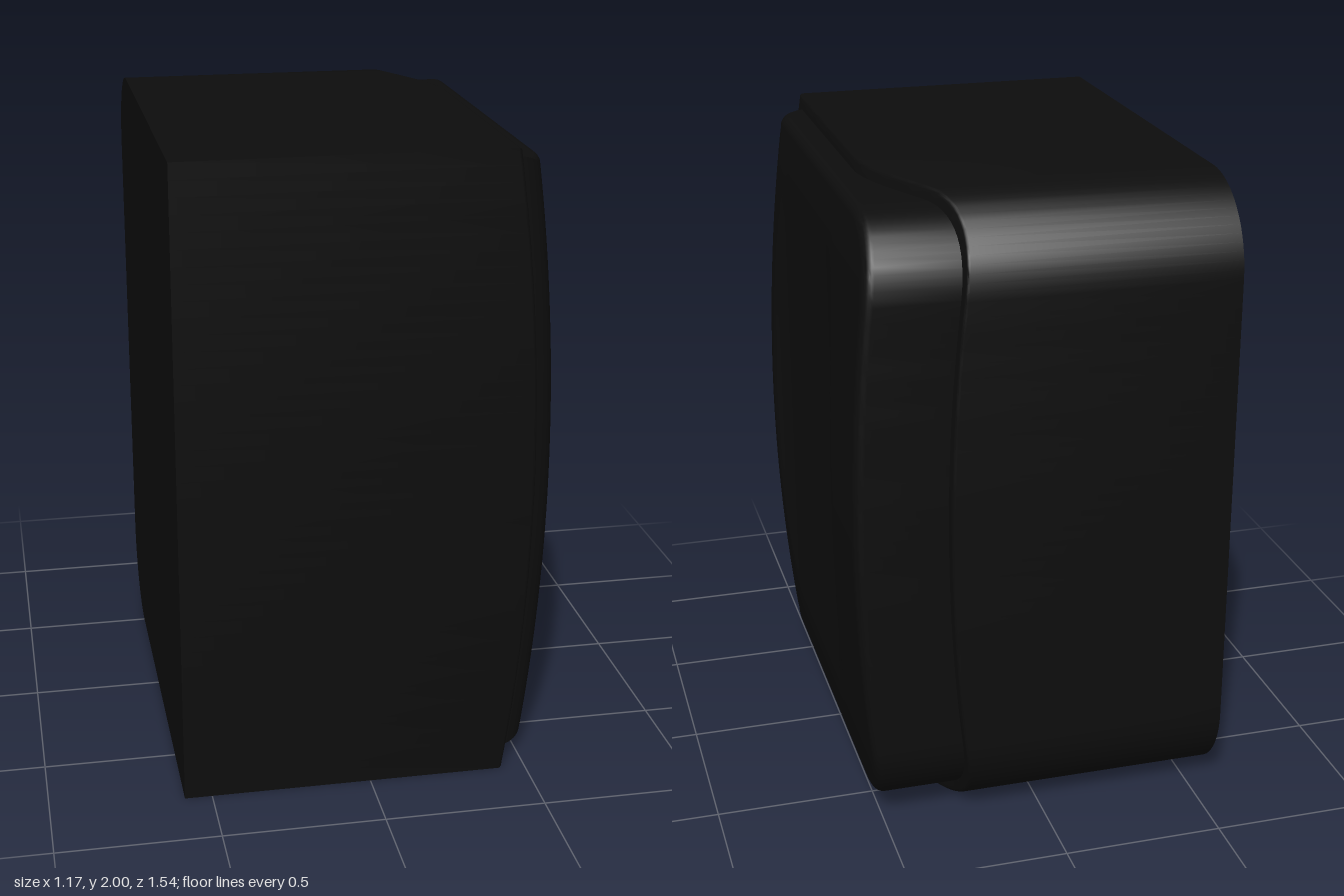
import * as THREE from 'three';
import { toCreasedNormals } from 'three/addons/utils/BufferGeometryUtils.js';

const { smoothstep, clamp } = THREE.MathUtils;

// Side outline in (z, y): square at the front, rounded at the back corners
function outline(zFront, zBack, y0, y1, r) {
  const pts = [];
  const line = (za, ya, zb, yb, n) => {
    for (let i = 0; i < n; i++) pts.push([za + (zb - za) * i / n, ya + (yb - ya) * i / n]);
  };
  const arc = (cz, cy, from) => {
    for (let i = 0; i < 16; i++) {
      const a = from + Math.PI / 2 * i / 16;
      pts.push([cz - r * Math.cos(a), cy + r * Math.sin(a)]);
    }
  };
  line(zFront, y0, zBack + r, y0, 40);
  arc(zBack + r, y0 + r, -Math.PI / 2);
  line(zBack, y0 + r, zBack, y1 - r, 32);
  arc(zBack + r, y1 - r, 0);
  line(zBack + r, y1, zFront, y1, 40);
  line(zFront, y1, zFront, y0, 40);
  return pts;
}

// Skin a list of rings; each ring is { inset, scale, x(z, y) }
function skin(pts, rings) {
  const zs = pts.map(p => p[0]), ys = pts.map(p => p[1]);
  const zMin = Math.min(...zs), zMax = Math.max(...zs);
  const yMin = Math.min(...ys), yMax = Math.max(...ys);
  const cz = (zMin + zMax) / 2, cy = (yMin + yMax) / 2;
  const hz = (zMax - zMin) / 2, hy = (yMax - yMin) / 2;
  const pos = [], idx = [], n = pts.length;
  rings.forEach(({ inset = 0, scale = 1, x }, k) => {
    pts.forEach(([pz, py], i) => {
      const z = cz + (pz - cz) * scale * (1 - inset / hz);
      const y = cy + (py - cy) * scale * (1 - inset / hy);
      pos.push(x(z, y), y, z);
      if (k === 0) return;
      const a = (k - 1) * n + i, b = (k - 1) * n + (i + 1) % n;
      idx.push(a, b, b + n, a, b + n, a + n);
    });
  });
  const g = new THREE.BufferGeometry();
  g.setAttribute('position', new THREE.Float32BufferAttribute(pos, 3));
  g.setIndex(idx);
  return toCreasedNormals(g, 0.55);
}

// Rounded rim followed by a domed cap that closes towards the centre
function rimAndCap(surface, bevel, steps, capRings) {
  const rings = [];
  for (let i = 0; i <= steps; i++) {
    const a = Math.PI / 2 * i / steps;
    const drop = bevel * (1 - Math.sin(a));
    rings.push({ inset: bevel * (1 - Math.cos(a)), x: (z, y) => surface(z, y) - drop });
  }
  for (let i = 1; i <= capRings; i++) {
    rings.push({ inset: bevel, scale: Math.max(1 - i / capRings, 0.001), x: surface });
  }
  return rings;
}

const bow = y => 1 - (y - 1) ** 2;

// Right face of the body: sweeps inwards at the back and bows over the height
const bodyFace = (z, y) => 0.22 + 0.205 * smoothstep(z, -0.77, -0.12) + 0.077 * bow(y);

// Outer face of the cover: bowed, with a shallow flat recess and a rounded front lip
function coverFace(z, y) {
  const rim = 0.508 + 0.075 * bow(y);
  const t = z < 0 ? clamp((-0.22 - z) / 0.18, 0, 1) : clamp((z - 0.43) / 0.17, 0, 1);
  const floor = 0.537 + 0.05 * t * t;
  const f = clamp(z - 0.62, 0, 0.078);
  return Math.min(rim, floor) - (0.08 - Math.sqrt(0.0064 - f * f)) * 0.7;
}

export function createModel() {
  const group = new THREE.Group();
  const material = new THREE.MeshStandardMaterial({ color: 0x0d0d0d });
  const add = (name, geometry) => {
    const mesh = new THREE.Mesh(geometry, material);
    mesh.name = name;
    group.add(mesh);
  };

  // Body block with a flat left side
  const flat = () => -0.585;
  add('body', skin(outline(0.77, -0.77, 0, 2, 0.27), [
    { scale: 0.001, x: flat },
    { x: flat },
    ...rimAndCap(bodyFace, 0.01, 3, 24),
  ]));

  // Raised side cover set slightly inside the body outline
  add('sideCover', skin(outline(0.70, -0.735, 0.04, 1.96, 0.235), [
    { x: (z, y) => bodyFace(z, y) - 0.04 },
    ...rimAndCap(coverFace, 0.03, 6, 48),
  ]));

  return group;
}
